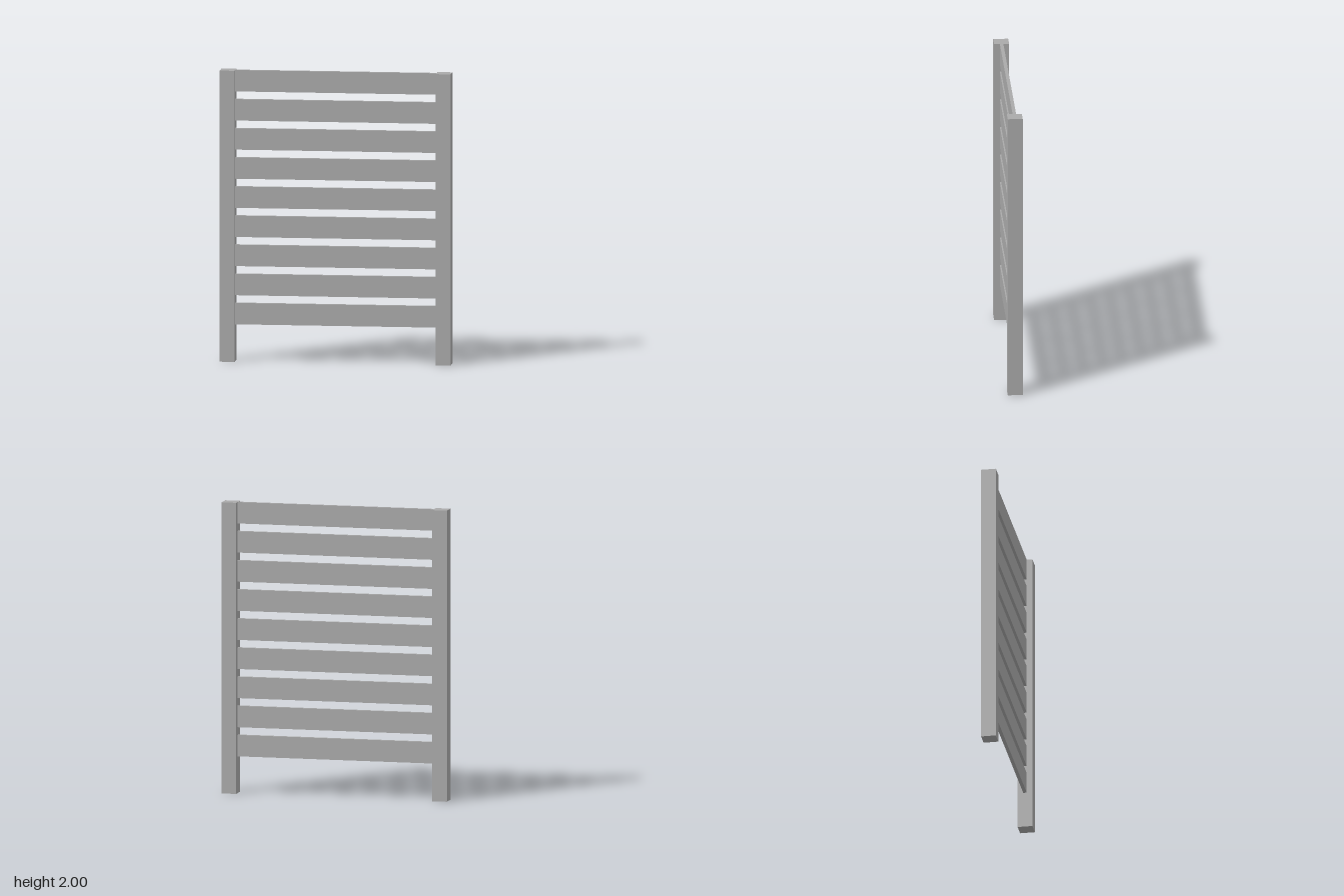
import * as THREE from 'three';

export function createModel() {
  const model = new THREE.Group();
  model.name = 'slattedFencePanel';

  const grey = new THREE.MeshStandardMaterial({ color: 0xaaaaaa });
  grey.name = 'plain grey';

  const height = 2;
  const halfWidth = 0.79;
  const postSize = 0.102;
  const slatHeight = 0.147;
  const slatThickness = 0.024;
  const slatCount = 9;
  const slatPitch = 0.2;

  // Square posts at both ends
  const postGeometry = new THREE.BoxGeometry(postSize, height, postSize);
  for (const [name, side] of [['leftPost', 1], ['rightPost', -1]]) {
    const post = new THREE.Mesh(postGeometry, grey);
    post.name = name;
    post.position.set(side * (halfWidth - postSize / 2), height / 2, 0);
    model.add(post);
  }

  // Thin horizontal slats, evenly spaced from the top down
  const slatLength = 2 * (halfWidth - postSize);
  const slatGeometry = new THREE.BoxGeometry(slatLength, slatHeight, slatThickness);
  for (let i = 0; i < slatCount; i++) {
    const slat = new THREE.Mesh(slatGeometry, grey);
    slat.name = `slat${i + 1}`;
    slat.position.y = height - slatHeight / 2 - i * slatPitch;
    model.add(slat);
  }

  return model;
}
